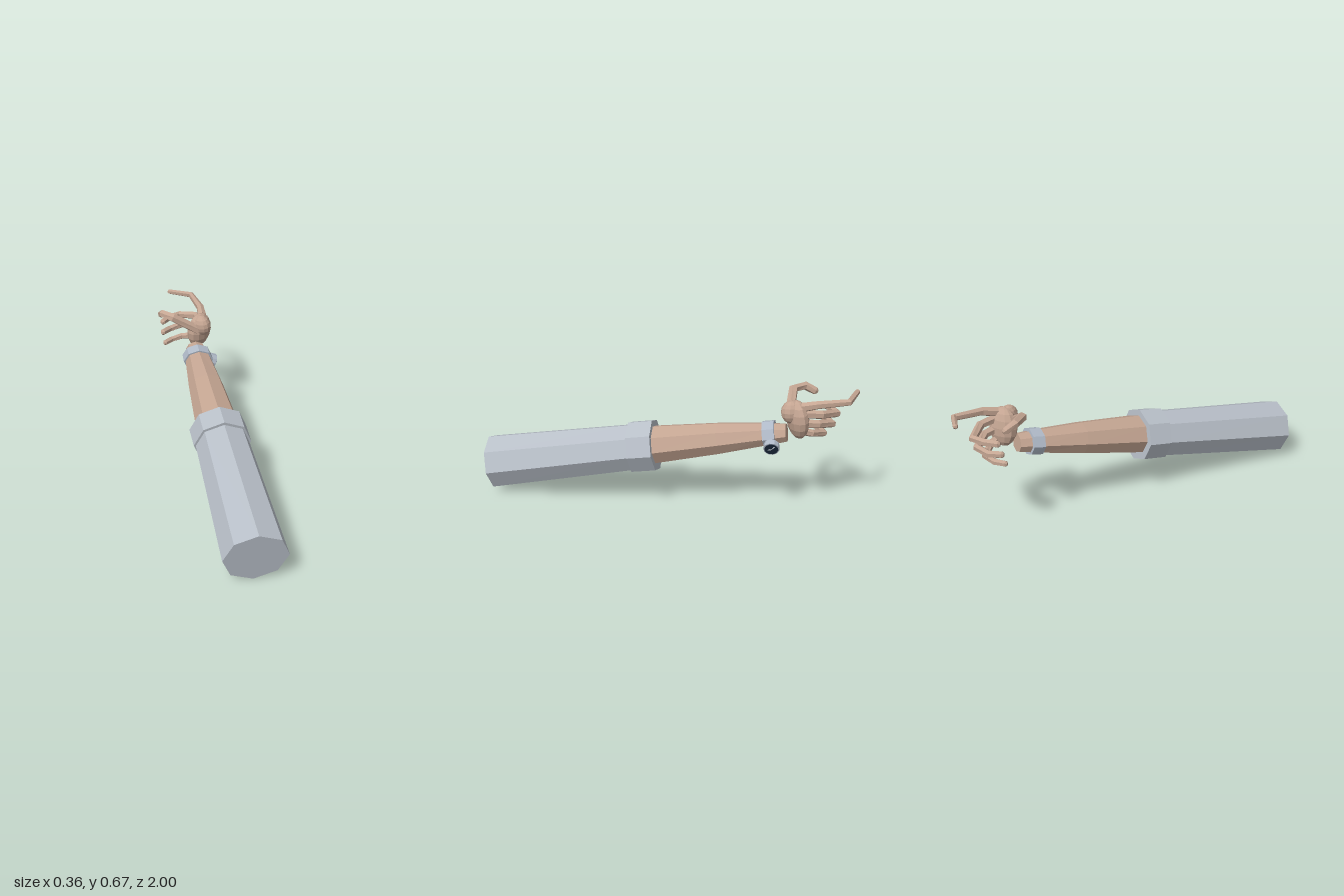
import * as THREE from 'three';

const mat = (name, color, flat = true) => {
  const m = new THREE.MeshStandardMaterial({ color, flatShading: flat });
  m.name = name;
  return m;
};

// Closed faceted loft through sections [x, y, z, radiusX, radiusY]
function loft(sections, sides, roll = 0) {
  const up = new THREE.Vector3(0, 1, 0);
  const centres = sections.map(s => new THREE.Vector3(s[0], s[1], s[2]));
  const last = sections.length - 1;
  const rings = sections.map((sec, i) => {
    const a = centres[Math.max(i - 1, 0)], b = centres[Math.min(i + 1, last)];
    const t = b.clone().sub(a).normalize();
    const side = t.clone().cross(up).normalize();
    const rise = side.clone().cross(t);
    return Array.from({ length: sides }, (_, j) => {
      const ang = roll + (j / sides) * Math.PI * 2;
      return centres[i].clone()
        .addScaledVector(side, Math.cos(ang) * sec[3])
        .addScaledVector(rise, Math.sin(ang) * (sec[4] ?? sec[3]));
    });
  });
  const pts = [];
  for (let j = 0; j < sides; j++) {
    const k = (j + 1) % sides;
    for (let i = 0; i < last; i++) {
      const [a, b, c, d] = [rings[i][j], rings[i][k], rings[i + 1][k], rings[i + 1][j]];
      pts.push(a, d, c, a, c, b);
    }
    pts.push(centres[0], rings[0][j], rings[0][k]);
    pts.push(centres[last], rings[last][k], rings[last][j]);
  }
  const geo = new THREE.BufferGeometry().setFromPoints(pts);
  geo.computeVertexNormals();
  return geo;
}

// Finger along joint points, with a tapered tip
function finger(points, r0, r1) {
  const n = points.length - 1;
  const secs = points.map((p, i) => [...p, r0 + (r1 - r0) * (i / n)]);
  const a = new THREE.Vector3(...points[n - 1]), b = new THREE.Vector3(...points[n]);
  const tip = b.clone().addScaledVector(b.clone().sub(a).normalize(), r1 * 0.6);
  secs.push([tip.x, tip.y, tip.z, r1 * 0.5]);
  return loft(secs, 6, Math.PI / 6);
}

export function createModel() {
  const skin = mat('skin', 0xc4a592);
  const cloth = mat('sleeve grey', 0xb8bfc8);
  const metal = mat('watch metal', 0xb0bac8);
  const navy = mat('watch face navy', 0x1c2a3e);
  const white = mat('watch hand white', 0xdfe6ee);

  const model = new THREE.Group();
  model.name = 'arm';
  const add = (name, geo, material, parent = model) => {
    const mesh = new THREE.Mesh(geo, material);
    mesh.name = name;
    parent.add(mesh);
    return mesh;
  };
  const roll = -0.03;

  // Sleeve and cuff
  add('sleeve', loft([
    [0.0175, 0.148, 0.974, 0.163, 0.148],
    [0.016, 0.295, 0.18, 0.143, 0.128],
  ], 8, roll), cloth);
  add('cuff', loft([
    [0.016, 0.296, 0.19, 0.154, 0.141],
    [0.016, 0.316, 0.06, 0.154, 0.141],
  ], 8, roll), cloth);

  // Forearm and wrist
  add('forearm', loft([
    [0.017, 0.315, 0.09, 0.12, 0.106],
    [0.017, 0.382, -0.28, 0.097, 0.085],
    [0.017, 0.428, -0.54, 0.073, 0.06],
    [0.02, 0.442, -0.635, 0.056, 0.048],
  ], 8, roll), skin);

  // Watch
  add('watchBand', loft([
    [0.017, 0.424, -0.515, 0.086, 0.07],
    [0.017, 0.435, -0.577, 0.083, 0.069],
  ], 8, roll), metal);
  const watch = new THREE.Group();
  watch.name = 'watch';
  watch.position.set(0.104, 0.391, -0.565);
  watch.quaternion.setFromUnitVectors(
    new THREE.Vector3(0, 1, 0), new THREE.Vector3(0.92, -0.39, -0.05).normalize());
  model.add(watch);
  add('watchCase', new THREE.CylinderGeometry(0.042, 0.042, 0.03, 10), metal, watch);
  add('watchFace', new THREE.CylinderGeometry(0.036, 0.036, 0.004, 10), navy, watch)
    .position.y = 0.016;
  [[0.026, -0.6], [0.019, 1.9]].forEach(([len, ang], i) => {
    const geo = new THREE.BoxGeometry(len, 0.002, 0.004).translate(-len / 2, 0, 0);
    const hand = add('watchHand' + (i + 1), geo, white, watch);
    hand.position.y = 0.019;
    hand.rotation.y = ang;
  });

  // Palm and thumb base
  const palm = add('palm', new THREE.SphereGeometry(1, 12, 8), skin);
  palm.position.set(0.053, 0.535, -0.69);
  palm.scale.set(0.08, 0.105, 0.052);
  palm.rotation.set(0.12, 0.56, 0, 'YXZ');
  const ball = add('thumbBase', new THREE.SphereGeometry(1, 12, 8), skin);
  ball.position.set(0.063, 0.578, -0.658);
  ball.scale.set(0.047, 0.061, 0.058);
  ball.rotation.set(0, 0.5, 0.12);

  // Fingers: joints from base to tip, then base and tip radius
  const fingers = {
    thumb: [[[0.04, 0.555, -0.645], [-0.105, 0.643, -0.652], [-0.155, 0.645, -0.71],
      [-0.157, 0.618, -0.765]], 0.027, 0.021],
    indexFinger: [[[0.075, 0.61, -0.71], [0.078, 0.63, -0.79], [0.05, 0.645, -0.945],
      [-0.075, 0.66, -0.983]], 0.026, 0.014],
    middleFinger: [[[0.075, 0.575, -0.73], [0.055, 0.57, -0.81], [-0.03, 0.55, -0.885],
      [-0.1, 0.552, -0.85], [-0.145, 0.55, -0.8]], 0.024, 0.018],
    ringFinger: [[[0.07, 0.52, -0.73], [0.05, 0.515, -0.795], [-0.025, 0.493, -0.865],
      [-0.1, 0.485, -0.835], [-0.147, 0.49, -0.785]], 0.024, 0.018],
    littleFinger: [[[0.06, 0.475, -0.71], [0.045, 0.46, -0.765], [-0.025, 0.437, -0.825],
      [-0.095, 0.43, -0.803], [-0.138, 0.43, -0.765]], 0.021, 0.016],
  };
  for (const [name, [points, r0, r1]] of Object.entries(fingers)) {
    add(name, finger(points, r0, r1), skin);
  }
  return model;
}
